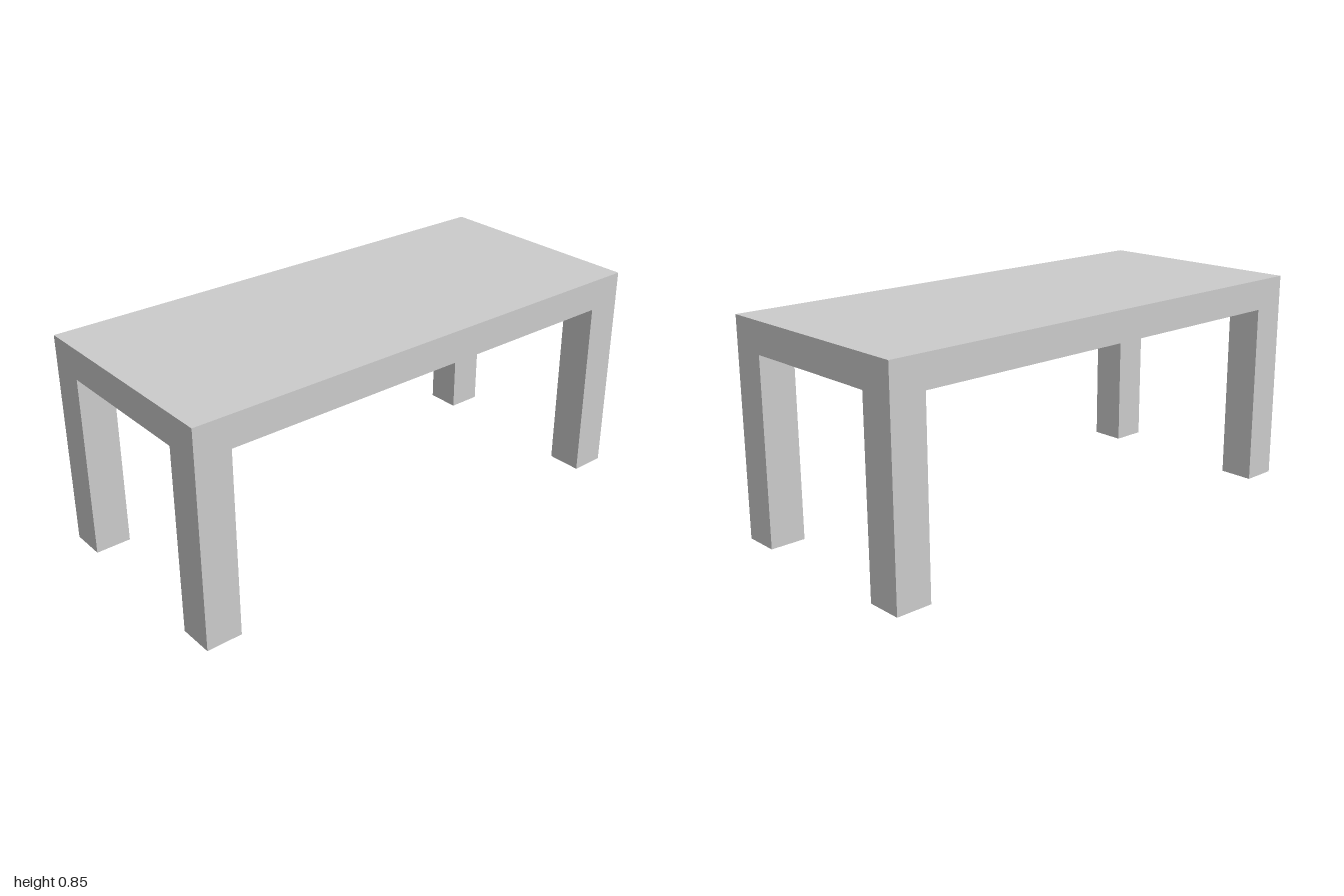
import * as THREE from 'three';

const WIDTH = 2, DEPTH = 0.885, HEIGHT = 0.85;
const TOP = 0.122; // tabletop thickness
const LEG = 0.14; // square leg side

export function createModel() {
  const group = new THREE.Group();
  group.name = 'table';
  const material = new THREE.MeshStandardMaterial({ color: 0xcccccc });

  const addBox = (name, w, h, d, x, y, z) => {
    const mesh = new THREE.Mesh(new THREE.BoxGeometry(w, h, d), material);
    mesh.name = name;
    mesh.position.set(x, y, z);
    group.add(mesh);
  };

  // Thick slab top
  addBox('tabletop', WIDTH, TOP, DEPTH, 0, HEIGHT - TOP / 2, 0);

  // Four square legs, flush with the corners of the top
  const legHeight = HEIGHT - TOP;
  for (const [side, sx] of [['Left', 1], ['Right', -1]]) {
    for (const [end, sz] of [['front', 1], ['back', -1]]) {
      addBox(`${end}${side}Leg`, LEG, legHeight, LEG,
        sx * (WIDTH - LEG) / 2, legHeight / 2, sz * (DEPTH - LEG) / 2);
    }
  }
  return group;
}
